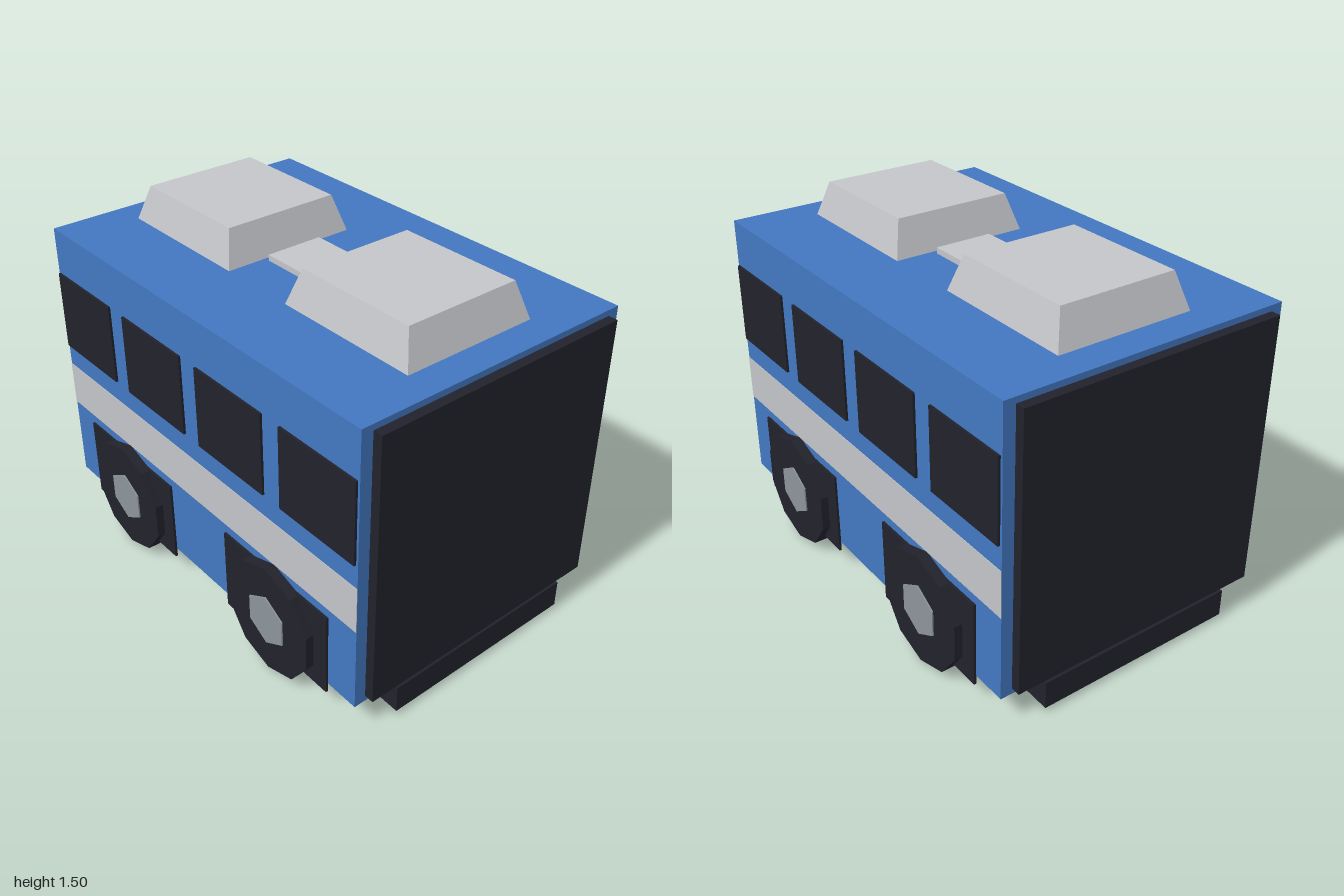
import * as THREE from 'three';

const material = (name, color) => {
  const m = new THREE.MeshStandardMaterial({ color });
  m.name = name;
  return m;
};

export function createModel() {
  const blue = material('bodyBlue', 0x4377c0);
  const dark = material('darkTrim', 0x22222c);
  const gray = material('lightGray', 0xc3c5c9);
  const steel = material('hubSteel', 0x8c949a);
  const model = new THREE.Group();
  model.name = 'boxyBus';

  const add = (name, geometry, mat, x, y, z) => {
    const mesh = new THREE.Mesh(geometry, mat);
    mesh.name = name;
    mesh.position.set(x, y, z);
    model.add(mesh);
    return mesh;
  };
  // Box given by its minimum and maximum corners
  const box = (name, mat, [x0, y0, z0], [x1, y1, z1]) =>
    add(name, new THREE.BoxGeometry(x1 - x0, y1 - y0, z1 - z0), mat,
      (x0 + x1) / 2, (y0 + y1) / 2, (z0 + z1) / 2);
  // Flat-sided disc facing along z
  const disc = (name, mat, radius, depth, sides, x, y, z) => {
    const geometry = new THREE.CylinderGeometry(radius, radius, depth, sides).rotateX(Math.PI / 2).toNonIndexed();
    geometry.computeVertexNormals();
    return add(name, geometry, mat, x, y, z);
  };
  // Box whose upper face is drawn in by an inset
  const taperedBox = (w, h, d, insetX, insetZ) => {
    const geometry = new THREE.BoxGeometry(w, h, d).toNonIndexed();
    const p = geometry.attributes.position;
    for (let i = 0; i < p.count; i++) {
      if (p.getY(i) > 0) {
        p.setX(i, p.getX(i) - Math.sign(p.getX(i)) * insetX);
        p.setZ(i, p.getZ(i) - Math.sign(p.getZ(i)) * insetZ);
      }
    }
    geometry.computeVertexNormals();
    return geometry;
  };

  // Body and chassis
  box('body', blue, [-0.96, 0.13, -0.625], [0.96, 1.35, 0.625]);
  box('chassis', dark, [-1, 0.02, -0.45], [1, 0.14, 0.45]);

  // End panels and roof units
  for (const s of [-1, 1]) {
    add('endPanel', new THREE.BoxGeometry(0.04, 1.17, 1.15), dark, s * 0.98, 0.74, 0);
    add('roofUnit', taperedBox(0.65, 0.15, 0.6, 0.05, 0.043), gray, s * 0.4985, 1.425, 0);
  }
  box('roofVent', gray, [-0.15, 1.35, -0.13], [0.15, 1.375, 0.125]);

  // Both long sides: stripe, windows, arches and wheels
  for (const s of [-1, 1]) {
    add('sideStripe', new THREE.BoxGeometry(1.92, 0.2, 0.002), gray, 0, 0.6, s * 0.626);
    for (const x of [-0.75, -0.25, 0.25, 0.75]) {
      add('window', new THREE.BoxGeometry(0.4, 0.35, 0.01), dark, x, 0.975, s * 0.63);
    }
    for (const x of [-0.5, 0.5]) {
      add('wheelArch', new THREE.BoxGeometry(0.62, 0.37, 0.01), dark, x, 0.275, s * 0.63);
      disc('wheel', dark, 0.25, 0.11, 10, x, 0.25, s * 0.615);
      disc('wheelHub', steel, 0.115, 0.04, 6, x, 0.25, s * 0.656);
    }
  }
  return model;
}
